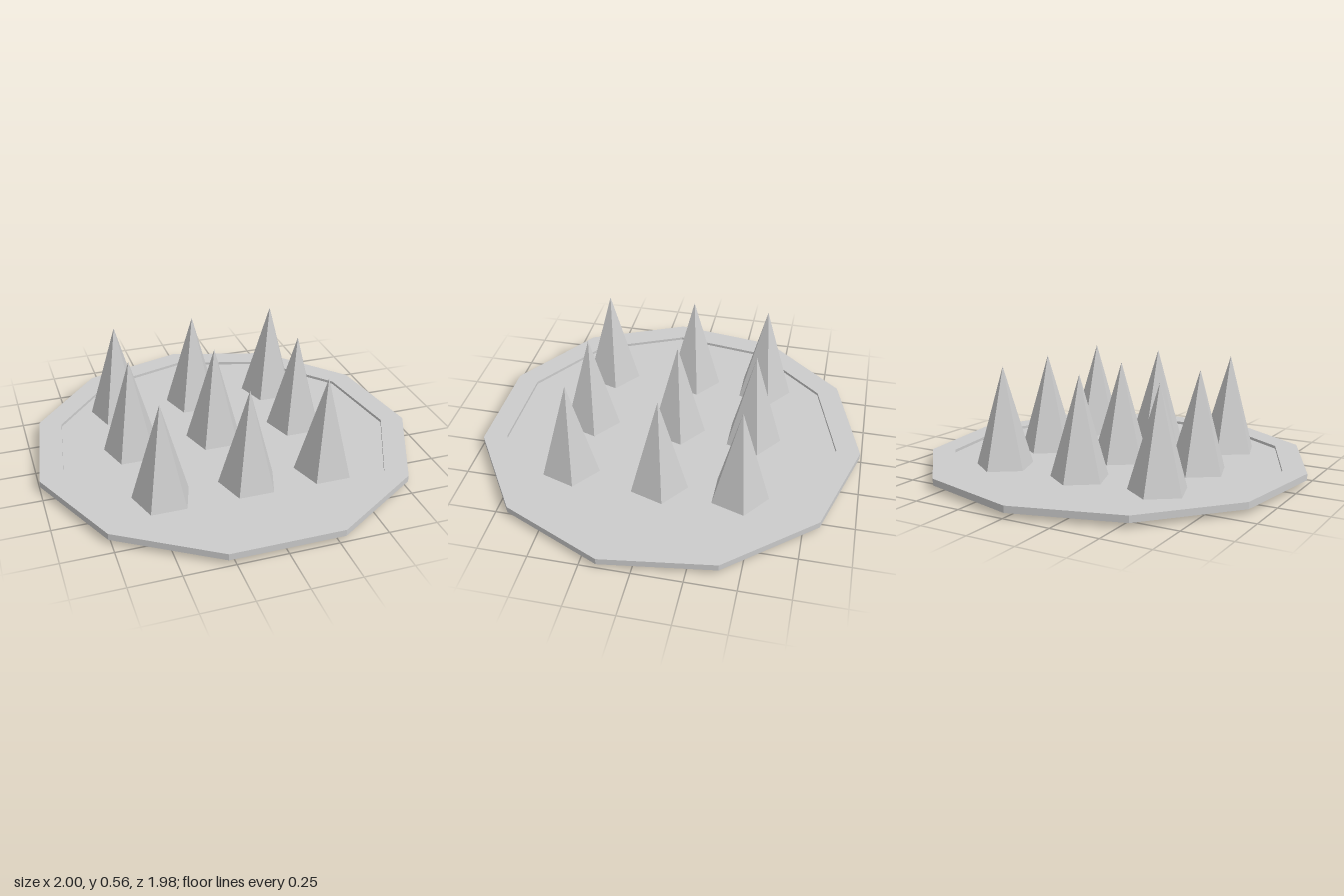
import * as THREE from 'three';

const material = new THREE.MeshStandardMaterial({ color: 0xcccccc, flatShading: true });

const SIDES = 11;
const PLATE_Z = 0.02;
const FLOOR_Y = 0.043;
const TIP_Y = 0.56;

// Eleven-sided plate: bevelled underside, raised rim, shallow recessed floor
function createPlate() {
  const profile = [
    [0, 0], [0.8, 0.003], [1.01, 0.024], [1.01, 0.058],
    [0.886, 0.058], [0.886, FLOOR_Y], [0, FLOOR_Y],
  ].map(([r, y]) => new THREE.Vector2(r, y));
  const plate = new THREE.Mesh(new THREE.LatheGeometry(profile, SIDES, Math.PI), material);
  plate.name = 'basePlate';
  plate.position.z = PLATE_Z;
  return plate;
}

// Slightly uneven three by three field of five-sided spikes
function createSpikes() {
  const spikes = new THREE.Group();
  spikes.name = 'spikes';
  const rows = [
    { z: -0.414, xs: [-0.473, -0.037, 0.42] },
    { z: -0.004, xs: [-0.487, -0.037, 0.424] },
    { z: 0.465, xs: [-0.449, -0.008, 0.396] },
  ];
  const height = TIP_Y - FLOOR_Y;
  const geometry = new THREE.ConeGeometry(0.152, height, 5, 1, true, Math.PI);
  for (const { z, xs } of rows) {
    for (const x of xs) {
      const spike = new THREE.Mesh(geometry, material);
      spike.name = 'spike';
      spike.position.set(x, FLOOR_Y + height / 2, z);
      spikes.add(spike);
    }
  }
  return spikes;
}

export function createModel() {
  const model = new THREE.Group();
  model.name = 'spikeTrap';
  model.add(createPlate(), createSpikes());
  return model;
}
